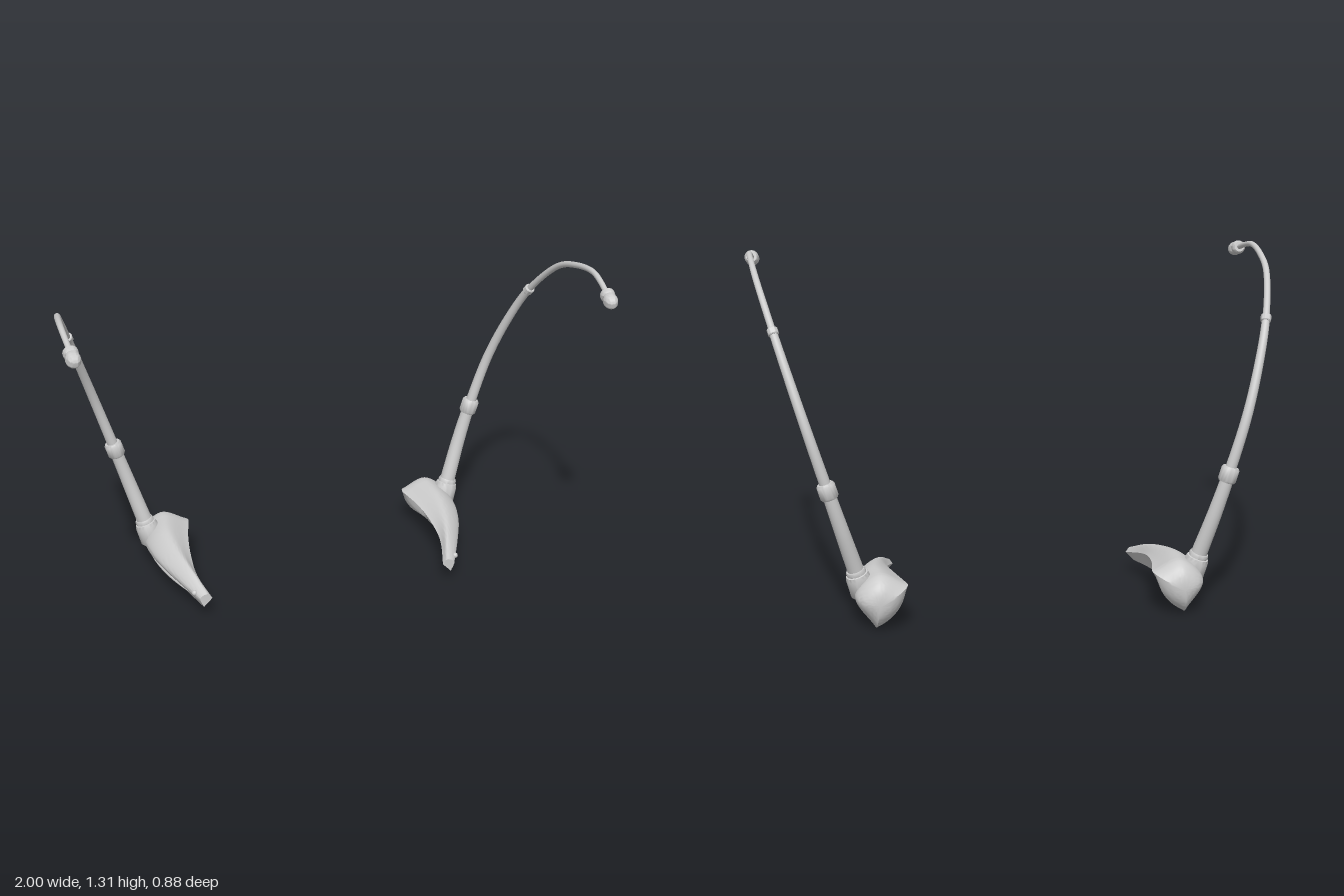
import * as THREE from 'three';
import { toCreasedNormals } from 'three/addons/utils/BufferGeometryUtils.js';

const V3 = (x, y, z) => new THREE.Vector3(x, y, z);
const material = new THREE.MeshStandardMaterial({ color: 0xcccccc, side: THREE.DoubleSide });

function part(name, geometry) {
  const mesh = new THREE.Mesh(geometry, material);
  mesh.name = name;
  return mesh;
}

// Tube whose radius follows a function of the distance along the curve
function taperedTube(curve, segments, sides, radius) {
  const geo = new THREE.TubeGeometry(curve, segments, 1, sides);
  const pos = geo.attributes.position, v = V3();
  for (let i = 0; i <= segments; i++) {
    const centre = curve.getPointAt(i / segments);
    for (let j = 0; j <= sides; j++) {
      const k = i * (sides + 1) + j;
      v.fromBufferAttribute(pos, k).sub(centre).multiplyScalar(radius(i / segments)).add(centre);
      pos.setXYZ(k, v.x, v.y, v.z);
    }
  }
  return geo;
}

// Lathe part placed at a point with its axis along a direction
function turned(name, profile, at, dir) {
  const points = profile.map(p => new THREE.Vector2(p[0], p[1]));
  const mesh = part(name, toCreasedNormals(new THREE.LatheGeometry(points, 32), 0.7));
  mesh.position.copy(at);
  mesh.quaternion.setFromUnitVectors(V3(0, 1, 0), dir);
  return mesh;
}

// Guide rails of the base, tip to heel: inner edge, crest, outer side, lower edge
const rails = [
  [[.468, .085, .13], [.5, .118, 0], [.499, .143, -.12], [.484, .157, -.24], [.457, .16, -.36]],
  [[.486, .105, .13], [.527, .155, 0], [.558, .182, -.12], [.573, .2, -.24], [.565, .205, -.36]],
  [[.515, .09, .13], [.575, .112, 0], [.622, .125, -.12], [.648, .13, -.24], [.65, .125, -.36]],
  [[.502, .05, .13], [.542, .052, 0], [.567, .045, -.12], [.578, .022, -.24], [.577, .003, -.36]],
].map(r => new THREE.CatmullRomCurve3(r.map(p => V3(...p))));

const sectionArc = t => new THREE.CatmullRomCurve3(rails.map(r => r.getPoint(t)));

// Closed section: domed outside, then a shallow inner face
function section(t, bulge) {
  const arc = sectionArc(t), points = [];
  for (let j = 0; j < 30; j++) points.push(arc.getPoint(j / 30));
  const a = arc.getPoint(0), b = arc.getPoint(1);
  const out = V3(b.y - a.y, a.x - b.x, 0);
  for (let j = 0; j < 12; j++) {
    const u = j / 12;
    points.push(b.clone().lerp(a, u).addScaledVector(out, bulge * 4 * u * (1 - u)));
  }
  return points;
}

function baseGeometry() {
  const rows = [];
  for (let i = 0; i <= 28; i++) rows.push(section(i / 28, -0.06 * i / 28));
  // rounded heel
  const heel = V3(.565, .105, -.36);
  for (let i = 1; i <= 14; i++) {
    const a = i / 14 * Math.PI / 2;
    const s = i === 14 ? 0 : Math.pow(Math.cos(a), 0.85);
    rows.push(section(1, 0.14 * Math.min(1, i / 4)).map(p =>
      V3(heel.x + (p.x - heel.x) * s, heel.y + (p.y - heel.y) * s, heel.z - 0.08 * Math.sin(a))));
  }
  const n = rows[0].length, index = [];
  const pos = rows.flat().flatMap(p => p.toArray());
  for (let i = 0; i < rows.length - 1; i++) {
    for (let j = 0; j < n; j++) {
      const a = i * n + j, b = i * n + (j + 1) % n;
      index.push(a, b, a + n);
      if (i < rows.length - 2) index.push(b, b + n, a + n);
    }
  }
  // flat tip
  const tip = pos.length / 3;
  pos.push(.492, .082, .13);
  for (let j = 0; j < n; j++) index.push(tip, (j + 1) % n, j);
  const geo = new THREE.BufferGeometry();
  geo.setAttribute('position', new THREE.Float32BufferAttribute(pos, 3));
  geo.setIndex(index);
  return toCreasedNormals(geo, 0.6);
}

// Point on the outer wall of the base at a given rail position and height
function wallPoint(t, y) {
  const arc = sectionArc(t);
  let lo = 0.4, hi = 1;
  for (let i = 0; i < 20; i++) {
    const mid = (lo + hi) / 2;
    if (arc.getPoint(mid).y > y) lo = mid; else hi = mid;
  }
  return arc.getPoint(lo);
}

function buildSide(name) {
  const side = new THREE.Group();
  side.name = name;
  side.add(part('base', baseGeometry()));

  // slim leaf-shaped ridge on the outer wall
  const line = [];
  for (let i = 0; i <= 8; i++) line.push(wallPoint(0.15 + 0.6 * i / 8, 0.08 + 0.012 * i / 8));
  side.add(part('sideRidge', taperedTube(new THREE.CatmullRomCurve3(line), 40, 10,
    u => 0.001 + 0.008 * Math.sin(Math.PI * u))));

  const rivet = part('rivet', new THREE.SphereGeometry(0.011, 20, 14));
  rivet.position.copy(wallPoint(0.065, 0.098));
  side.add(rivet);

  // stalk bends forward within a plane that leans outward
  const stalk = new THREE.CatmullRomCurve3([
    [.14, -.318], [.22, -.33], [.37, -.354], [.523, -.364], [.74, -.353], [.93, -.293], [1.078, -.211],
    [1.23, -.05], [1.282, .09], [1.302, .218], [1.291, .298], [1.27, .375],
  ].map(([y, z]) => V3(.64 + (y - .2) * .31, y, z)));
  stalk.arcLengthDivisions = 600;
  const uAt = (y, z) => {
    let best = 0, dist = 9;
    for (let i = 0; i <= 400; i++) {
      const p = stalk.getPointAt(i / 400), d = Math.hypot(p.y - y, p.z - z);
      if (d < dist) { dist = d; best = i / 400; }
    }
    return best;
  };
  const uLow = uAt(.523, -.364), uHigh = uAt(1.078, -.211);
  const lerp = THREE.MathUtils.lerp;
  side.add(part('stalk', taperedTube(stalk, 120, 20, u =>
    u < uLow ? lerp(.032, .024, u / uLow)
      : u < uHigh ? lerp(.021, .015, (u - uLow) / (uHigh - uLow))
        : lerp(.013, .010, (u - uHigh) / (1 - uHigh)))));

  const ring = (label, u, r, h) => side.add(turned(label, [
    [0, -h], [r * .85, -h], [r, -h * .75], [r, h * .75], [r * .85, h], [0, h],
  ], stalk.getPointAt(u), stalk.getTangentAt(u)));
  ring('lowerRing', uLow, .034, .03);
  ring('upperRing', uHigh, .020, .014);

  side.add(turned('socket', [
    [0, -.055], [.04, -.055], [.047, -.045], [.045, .02], [.041, .034], [.036, .036],
    [.037, .046], [.034, .053], [0, .053],
  ], V3(.63, .165, -.322), stalk.getTangentAt(0)));

  // collar and rounded bud at the end
  const bud = [[0, -.018], [.02, -.018], [.027, -.009], [.027, .005], [.022, .013]];
  for (let i = 0; i <= 14; i++) {
    const a = -0.6 + (Math.PI / 2 + 0.6) * i / 14;
    bud.push([i === 14 ? 0 : .027 * Math.cos(a), .032 + .036 * Math.sin(a)]);
  }
  side.add(turned('bud', bud, stalk.getPointAt(1), stalk.getTangentAt(1)));
  return side;
}

export function createModel() {
  const model = new THREE.Group();
  const left = buildSide('leftAntenna');
  const right = buildSide('rightAntenna');
  right.scale.x = -1;
  model.add(left, right);
  return model;
}
